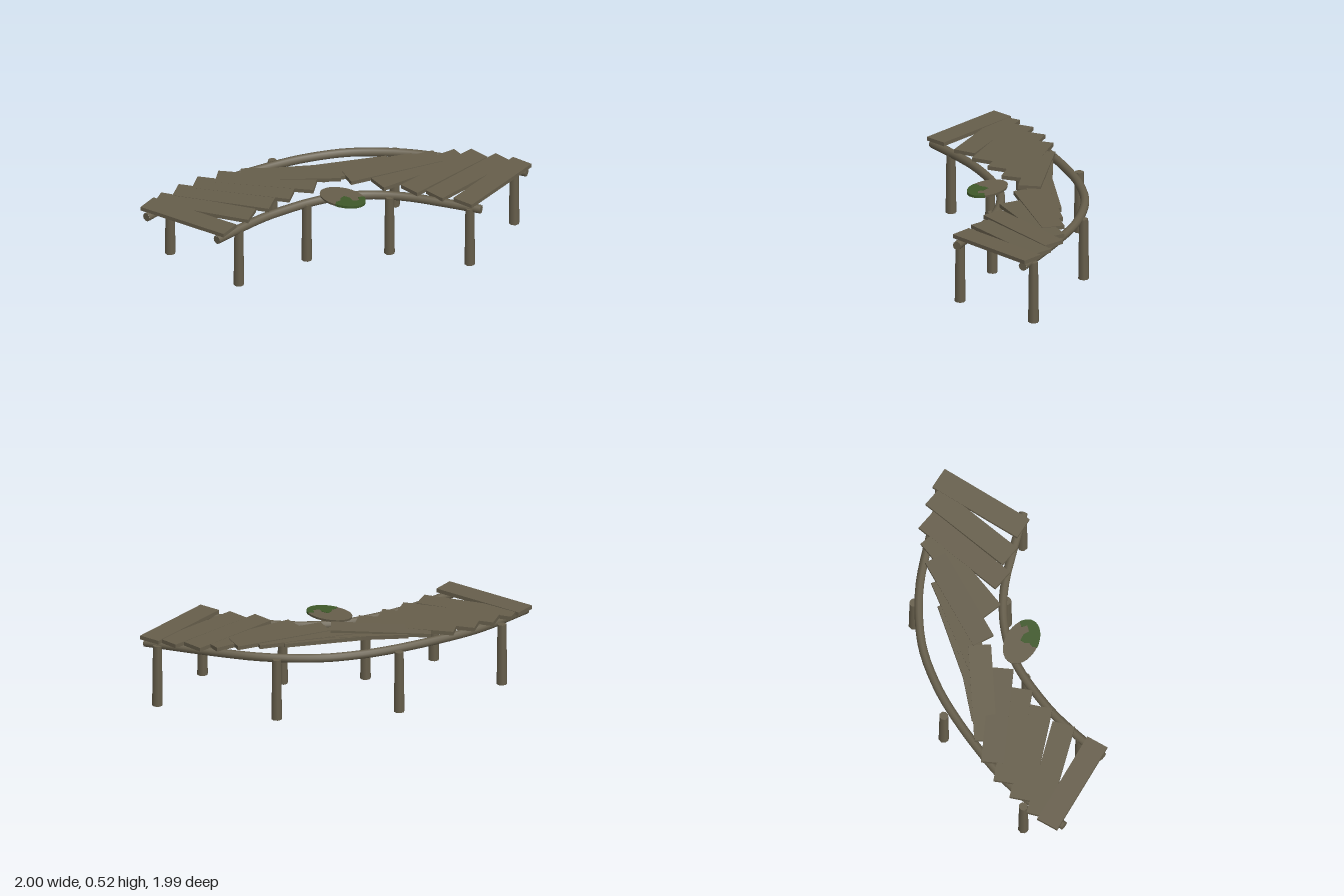
import * as THREE from 'three';

export function createModel() {
  const model = new THREE.Group();
  const wood = new THREE.MeshStandardMaterial({ color: 0x665e4b });
  wood.name = 'weatheredWood';
  const moss = new THREE.MeshStandardMaterial({ color: 0x3f592a });
  moss.name = 'mossGreen';

  const add = (name, geometry, material, x = 0, y = 0, z = 0, parent = model) => {
    const mesh = new THREE.Mesh(geometry, material);
    mesh.name = name;
    mesh.position.set(x, y, z);
    parent.add(mesh);
    return mesh;
  };

  // Curved round rails under the deck, with closed ends
  const rail = (name, points) => {
    const group = new THREE.Group();
    group.name = name;
    model.add(group);
    const y = 0.447, r = 0.031;
    const curve = new THREE.CatmullRomCurve3(points.map(([x, z]) => new THREE.Vector3(x, y, z)));
    add(name + 'Log', new THREE.TubeGeometry(curve, 40, r, 10), wood, 0, 0, 0, group);
    for (const [t, sign] of [[0, -1], [1, 1]]) {
      const p = curve.getPoint(t);
      const cap = add(name + 'End', new THREE.CircleGeometry(r, 10), wood, p.x, p.y, p.z, group);
      cap.lookAt(p.clone().addScaledVector(curve.getTangent(t), sign));
    }
  };
  rail('outerRail', [[-0.94, 0.985], [-0.85, 0.52], [-0.7, 0.16], [-0.53, -0.15], [-0.425, -0.3],
    [-0.24, -0.5], [-0.02, -0.65], [0.19, -0.75], [0.42, -0.82], [0.7, -0.89], [0.98, -0.95]]);
  rail('innerRail', [[-0.36, 0.985], [-0.285, 0.68], [-0.235, 0.52], [-0.155, 0.34], [-0.08, 0.2],
    [0.02, 0.06], [0.165, -0.07], [0.31, -0.16], [0.48, -0.23], [0.67, -0.28], [0.98, -0.352]]);

  // Slightly tapered posts
  const postGeometry = new THREE.CylinderGeometry(0.032, 0.038, 0.45, 8);
  for (const [x, z] of [[-0.945, 0.665], [-0.61, -0.14], [0.035, -0.717], [0.87, -0.957],
    [-0.31, 0.775], [-0.09, 0.235], [0.35, -0.15], [0.905, -0.32]]) {
    add('post', postGeometry, wood, x, 0.225, z);
  }

  // Loose deck planks: centre x, z, direction x, z, height, lengthwise tilt
  const plankGeometry = new THREE.BoxGeometry(0.7, 0.028, 0.16);
  const planks = [
    [-0.65, 0.895, 131, 5, 0.493, 0.02],
    [-0.63, 0.714, 128, -29, 0.486, 0.005],
    [-0.585, 0.535, 125, -36, 0.489, 0.006],
    [-0.53, 0.364, 123, -41, 0.491, 0.008],
    [-0.45, 0.198, 122, -50, 0.493, 0.01],
    [-0.35, 0.03, 108, -66, 0.498, 0.03],
    [-0.24, -0.1, 102, -82, 0.486, 0.005],
    [-0.11, -0.24, 90, -95, 0.484, 0],
    [0.04, -0.35, 84, -100, 0.488, -0.008],
    [0.19, -0.44, 72, -109, 0.492, -0.005],
    [0.36, -0.52, 53, -120, 0.486, 0.004],
    [0.53, -0.58, 28, -128, 0.489, -0.004],
    [0.71, -0.62, 27, -128, 0.486, 0.004],
    [0.89, -0.64, 10, -130, 0.491, 0],
  ];
  for (const [x, z, dx, dz, y, tilt] of planks) {
    const plank = add('deckPlank', plankGeometry, wood, x, y, z);
    plank.rotation.set(0, Math.atan2(-dz, dx), tilt, 'YZX');
  }

  // Oval slab beside the deck, green underneath
  const slab = new THREE.Group();
  slab.name = 'ovalSlab';
  slab.position.set(0.115, 0.49, 0.09);
  model.add(slab);
  const disc = add('slabBody', new THREE.CylinderGeometry(1, 0.98, 0.016, 32), [wood, wood, moss], 0, 0, 0, slab);
  disc.scale.set(0.175, 1, 0.115);

  // Moss patch: outer edge follows the oval rim, inner edge is ragged
  const patch = new THREE.Shape();
  for (let i = 0; i <= 14; i++) {
    const a = THREE.MathUtils.lerp(0.78, -1.5, i / 14);
    patch[i ? 'lineTo' : 'moveTo'](0.176 * Math.cos(a), 0.116 * Math.sin(a));
  }
  for (const [x, y] of [[0.0, -0.085], [0.016, -0.055], [0, -0.025], [0.005, 0.012],
    [0.055, 0.012], [0.09, -0.012], [0.125, 0.02], [0.095, 0.05]]) patch.lineTo(x, y);
  const patchGeometry = new THREE.ExtrudeGeometry(patch, { depth: 0.0185, bevelEnabled: false });
  patchGeometry.rotateX(-Math.PI / 2);
  add('mossPatch', patchGeometry, moss, 0, -0.0085, 0, slab);

  return model;
}
